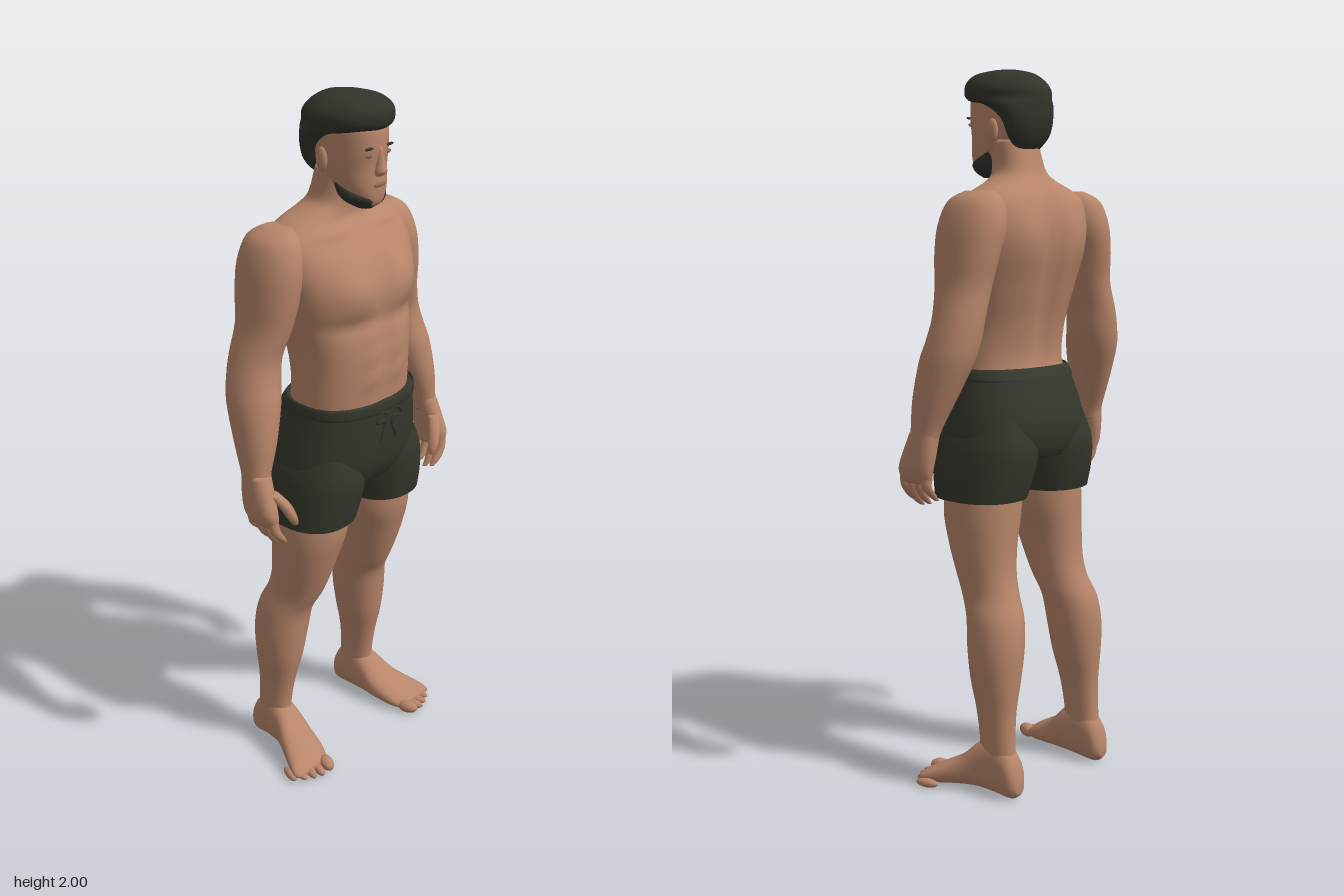
import * as THREE from 'three';

const mat = (name, color, side = THREE.FrontSide) => {
  const m = new THREE.MeshStandardMaterial({ color, side });
  m.name = name;
  return m;
};

// Catmull-Rom blend of one component across four sections
const blend = (a, b, c, d, t) =>
  0.5 * (2 * b + (c - a) * t + (2 * a - 5 * b + 4 * c - d) * t * t + (3 * b - a - 3 * c + d) * t * t * t);
const gauss = (a, b, w) => Math.exp(-(((a - b) / w) ** 2));

// Smooth body through oval sections [s, u0, u1, v0, v1] or [s, u0, u1, halfWidth].
// along 'y': u is x and v is z; along 'x': u is y and v is z.
function loft(rows, { side = 1, along = 'y', p = 2, cap = true, warp, N = 28, steps = 4 } = {}) {
  const secs = rows.map(r => (r.length === 4 ? [r[0], r[1], r[2], -r[3], r[3]] : r));
  const at = i => secs[Math.min(Math.max(i, 0), secs.length - 1)];
  const pos = [], index = [];
  const M = (secs.length - 1) * steps;
  const add = (s, u, v) => {
    const q = along === 'y' ? new THREE.Vector3(u, s, v * side) : new THREE.Vector3(s, u, v * side);
    if (warp) warp(q);
    pos.push(q.x, q.y, q.z);
  };
  const power = c => Math.sign(c) * Math.abs(c) ** (2 / p);
  for (let i = 0; i <= M; i++) {
    const k = Math.min(Math.floor(i / steps), secs.length - 2), t = i / steps - k;
    const [s, u0, u1, v0, v1] = at(k).map((_, c) => blend(at(k - 1)[c], at(k)[c], at(k + 1)[c], at(k + 2)[c], t));
    for (let j = 0; j < N; j++) {
      const a = (j / N) * Math.PI * 2;
      add(s, (u0 + u1) / 2 + ((u1 - u0) / 2) * power(Math.cos(a)), (v0 + v1) / 2 + ((v1 - v0) / 2) * power(Math.sin(a)));
    }
  }
  const flip = (side < 0) !== (along === 'x') !== (at(99)[0] < at(0)[0]);
  const tri = (a, b, c) => (flip ? index.push(a, c, b) : index.push(a, b, c));
  for (let i = 0; i < M; i++) for (let j = 0; j < N; j++) {
    const k = (j + 1) % N, a = i * N + j, b = i * N + k;
    tri(a, a + N, b);
    tri(b, a + N, b + N);
  }
  if (cap) {
    for (const [e, row] of [[at(0), 0], [at(99), M]]) {
      const c = pos.length / 3;
      add(e[0], (e[1] + e[2]) / 2, (e[3] + e[4]) / 2);
      for (let j = 0; j < N; j++) {
        const a = row * N + j, b = row * N + ((j + 1) % N);
        row ? tri(a, c, b) : tri(a, b, c);
      }
    }
  }
  const g = new THREE.BufferGeometry();
  g.setAttribute('position', new THREE.Float32BufferAttribute(pos, 3));
  g.setIndex(index);
  g.computeVertexNormals();
  return g;
}

// Chest, stomach and back muscles
function muscles(q) {
  const z = Math.abs(q.z), y = q.y;
  if (q.x > 0.03) {
    q.x += 0.016 * gauss(z, 0.095, 0.065) * gauss(y, 1.51, 0.06);
    q.x -= 0.012 * gauss(z, 0.09, 0.09) * gauss(y, 1.415, 0.025);
    q.x -= 0.012 * gauss(z, 0, 0.018) * gauss(y, 1.42, 0.17);
    for (const h of [1.26, 1.33, 1.39]) q.x += 0.006 * gauss(z, 0.045, 0.03) * gauss(y, h, 0.025);
    q.x += 0.008 * gauss(z, 0.1, 0.07) * gauss(y, 1.655, 0.012);
  } else if (q.x < -0.04) {
    q.x += 0.03 * gauss(z, 0, 0.025) * gauss(y, 1.42, 0.2);
    q.x -= 0.012 * gauss(z, 0.11, 0.06) * gauss(y, 1.54, 0.08);
  }
}

export function createModel() {
  const model = new THREE.Group();
  const skin = mat('skin', 0xb8856a);
  const shade = mat('lip and lid', 0x94674f);
  const cloth = mat('shorts cloth', 0x34372c, THREE.DoubleSide);
  const hairMat = mat('hair', 0x32342b);
  const put = (name, geo, m, parent = model) => {
    const mesh = new THREE.Mesh(geo, m);
    mesh.name = name;
    parent.add(mesh);
    return mesh;
  };
  const ball = (name, m, x, y, z, a, b, c) => {
    const mesh = put(name, new THREE.SphereGeometry(1, 16, 12), m);
    mesh.position.set(x, y, z);
    mesh.scale.set(a, b, c);
    return mesh;
  };

  // Torso and neck
  put('torso', loft([
    [1.1, -0.13, 0.155, 0.18], [1.2, -0.095, 0.165, 0.176], [1.3, -0.105, 0.17, 0.176],
    [1.4, -0.13, 0.162, 0.192], [1.5, -0.15, 0.157, 0.215], [1.58, -0.15, 0.128, 0.228],
    [1.64, -0.135, 0.085, 0.222], [1.675, -0.115, 0.055, 0.17], [1.7, -0.098, 0.05, 0.11],
    [1.73, -0.08, 0.052, 0.076], [1.81, -0.055, 0.06, 0.068],
  ], { p: 2.35, warp: muscles, N: 56, steps: 6 }), skin);

  // Head with nose, ears, brows, eyes and mouth
  put('head', loft([
    [1.715, 0.06, 0.118, 0.022], [1.73, 0.03, 0.134, 0.044], [1.77, -0.01, 0.138, 0.064],
    [1.82, -0.06, 0.136, 0.075], [1.88, -0.08, 0.141, 0.08], [1.94, -0.075, 0.13, 0.077], [1.98, -0.02, 0.08, 0.03],
  ], { p: 2.3 }), skin);
  put('nose', loft([
    [1.8, 0.125, 0.143, 0.012], [1.812, 0.12, 0.157, 0.018], [1.835, 0.12, 0.152, 0.012], [1.875, 0.12, 0.142, 0.008],
  ], { N: 12 }), skin);
  for (const s of [1, -1]) {
    ball('ear', skin, 0.01, 1.835, s * 0.08, 0.018, 0.032, 0.01);
    ball('eye', shade, 0.131, 1.856, s * 0.034, 0.004, 0.006, 0.014);
    ball('eyebrow', hairMat, 0.134, 1.874, s * 0.036, 0.004, 0.004, 0.018);
  }
  ball('mouth', shade, 0.137, 1.777, 0, 0.004, 0.006, 0.022);
  put('beard', loft([
    [1.71, 0.06, 0.11, 0.022], [1.728, 0.03, 0.132, 0.05], [1.752, 0.018, 0.126, 0.067], [1.78, 0.022, 0.06, 0.066],
  ], { p: 2.3 }), hairMat);

  // Swept hair, low at the nape and full over the forehead
  put('hair', loft([
    [1.785, -0.062, -0.03, 0.045], [1.82, -0.085, -0.015, 0.076], [1.865, -0.099, 0.005, 0.092],
    [1.9, -0.102, 0.06, 0.102], [1.92, -0.102, 0.142, 0.105], [1.945, -0.098, 0.157, 0.108],
    [1.97, -0.08, 0.155, 0.095], [1.99, -0.05, 0.13, 0.066], [2.0, 0, 0.08, 0.025],
  ], {
    warp: q => {
      const a = Math.atan2(q.z, q.x - 0.03), f = 1 + 0.02 * Math.sin(a * 7 + q.y * 30);
      q.x = 0.03 + (q.x - 0.03) * f;
      q.z *= f;
    }, N: 40,
  }), hairMat);

  // Shorts: hips, two legs with creases, waistband and drawstring
  const crease = q => {
    const w = 1 + 0.012 * Math.sin(Math.atan2(q.z, q.x) * 8 + q.y * 24);
    q.x *= w;
  };
  put('shortsHips', loft([
    [1.185, -0.104, 0.172, 0.186], [1.15, -0.125, 0.175, 0.192], [1.05, -0.156, 0.172, 0.215],
    [0.98, -0.15, 0.16, 0.222], [0.94, -0.13, 0.14, 0.2],
  ], { p: 2.5, warp: crease, N: 48 }), cloth);
  put('waistband', loft([
    [1.158, -0.125, 0.179, 0.193], [1.165, -0.122, 0.181, 0.195], [1.185, -0.108, 0.18, 0.191], [1.191, -0.102, 0.176, 0.187],
  ], { p: 2.5, N: 48, cap: false }), cloth);

  for (const side of [1, -1]) {
    const tag = side > 0 ? 'far' : 'near';
    put(tag + 'ShortsLeg', loft([
      [1.06, -0.13, 0.14, 0.03, 0.2], [0.98, -0.152, 0.16, 0.003, 0.23],
      [0.9, -0.142, 0.154, 0.004, 0.241], [0.83, -0.122, 0.14, 0.018, 0.246],
    ], { side, p: 2.4, cap: false, warp: crease, N: 36 }), cloth);
    const string = new THREE.CatmullRomCurve3([[0.176, 1.145, 0], [0.183, 1.16, 0.03], [0.183, 1.135, 0.05], [0.18, 1.13, 0.015], [0.182, 1.07, 0.03]]
      .map(([x, y, z]) => new THREE.Vector3(x, y, z * side)));
    put('drawstring', new THREE.TubeGeometry(string, 24, 0.004, 6), cloth);

    // Leg from thigh to ankle
    put(tag + 'Leg', loft([
      [0.98, -0.11, 0.11, 0.03, 0.21], [0.8, -0.11, 0.118, 0.032, 0.229], [0.7, -0.108, 0.095, 0.055, 0.226],
      [0.62, -0.113, 0.068, 0.07, 0.219], [0.56, -0.13, 0.043, 0.079, 0.218], [0.5, -0.155, 0.012, 0.086, 0.234],
      [0.42, -0.165, 0, 0.096, 0.243], [0.33, -0.162, -0.012, 0.113, 0.238], [0.24, -0.156, -0.032, 0.135, 0.225],
      [0.15, -0.158, -0.045, 0.145, 0.221], [0.08, -0.165, -0.04, 0.148, 0.22],
    ], { side, p: 2.15 }), skin);

    // Foot and toes, turned slightly outward
    put(tag + 'Foot', loft([
      [-0.186, 0.02, 0.055, 0.168, 0.2], [-0.165, 0.003, 0.12, 0.148, 0.219], [-0.11, 0.004, 0.165, 0.144, 0.224],
      [-0.05, 0.008, 0.145, 0.14, 0.236], [0, 0.008, 0.1, 0.14, 0.258], [0.06, 0.004, 0.066, 0.15, 0.288],
      [0.095, 0.004, 0.046, 0.165, 0.3], [0.112, 0.01, 0.03, 0.18, 0.285],
    ], { side, along: 'x', p: 2.3 }), skin);
    for (let i = 0; i < 5; i++) {
      const r = i ? 0.013 : 0.02;
      ball('toe', skin, 0.118 - i * i * 0.003, r + 0.002, side * (0.188 + i * 0.025 + (i ? 0.006 : 0)), 0.034, r, r).rotation.y = -side * 0.3;
    }

    // Arm from shoulder to wrist
    put(tag + 'Arm', loft([
      [1.672, -0.085, 0.0, 0.16, 0.215], [1.645, -0.125, 0.04, 0.14, 0.262], [1.58, -0.145, 0.063, 0.14, 0.288],
      [1.5, -0.14, 0.06, 0.168, 0.3], [1.42, -0.127, 0.045, 0.188, 0.31], [1.34, -0.125, 0.028, 0.212, 0.336],
      [1.28, -0.12, 0.034, 0.222, 0.355], [1.22, -0.108, 0.048, 0.238, 0.369], [1.12, -0.068, 0.058, 0.274, 0.376],
      [1.04, -0.034, 0.056, 0.305, 0.376], [1.0, -0.026, 0.06, 0.312, 0.378],
    ], { side, p: 2.15 }), skin);

    // Hand with relaxed fingers and thumb
    put(tag + 'Palm', loft([
      [1.04, -0.03, 0.055, 0.31, 0.374], [0.98, -0.026, 0.08, 0.318, 0.38],
      [0.93, -0.018, 0.098, 0.325, 0.38], [0.895, -0.008, 0.092, 0.325, 0.365],
    ], { side, p: 2.4 }), skin);
    const digit = (name, path, r) => put(name, loft(path.map(([x, y, z], i) => {
      const w = r * [1, 1.05, 0.9, 0.45][i];
      return [y, x - w, x + w, z - w, z + w];
    }), { side, N: 10 }), skin);
    for (let i = 0; i < 4; i++) {
      const x = 0.001 + i * 0.027, drop = [0.012, 0, -0.006, 0.004][i];
      digit('finger', [[x, 0.92, 0.352], [x + 0.004, 0.885, 0.346], [x + 0.006, 0.85 + drop, 0.326], [x + 0.004, 0.832 + drop, 0.309]], 0.014);
    }
    digit('thumb', [[0.065, 0.99, 0.335], [0.088, 0.955, 0.313], [0.1, 0.915, 0.296], [0.103, 0.89, 0.287]], 0.017);
  }
  return model;
}
